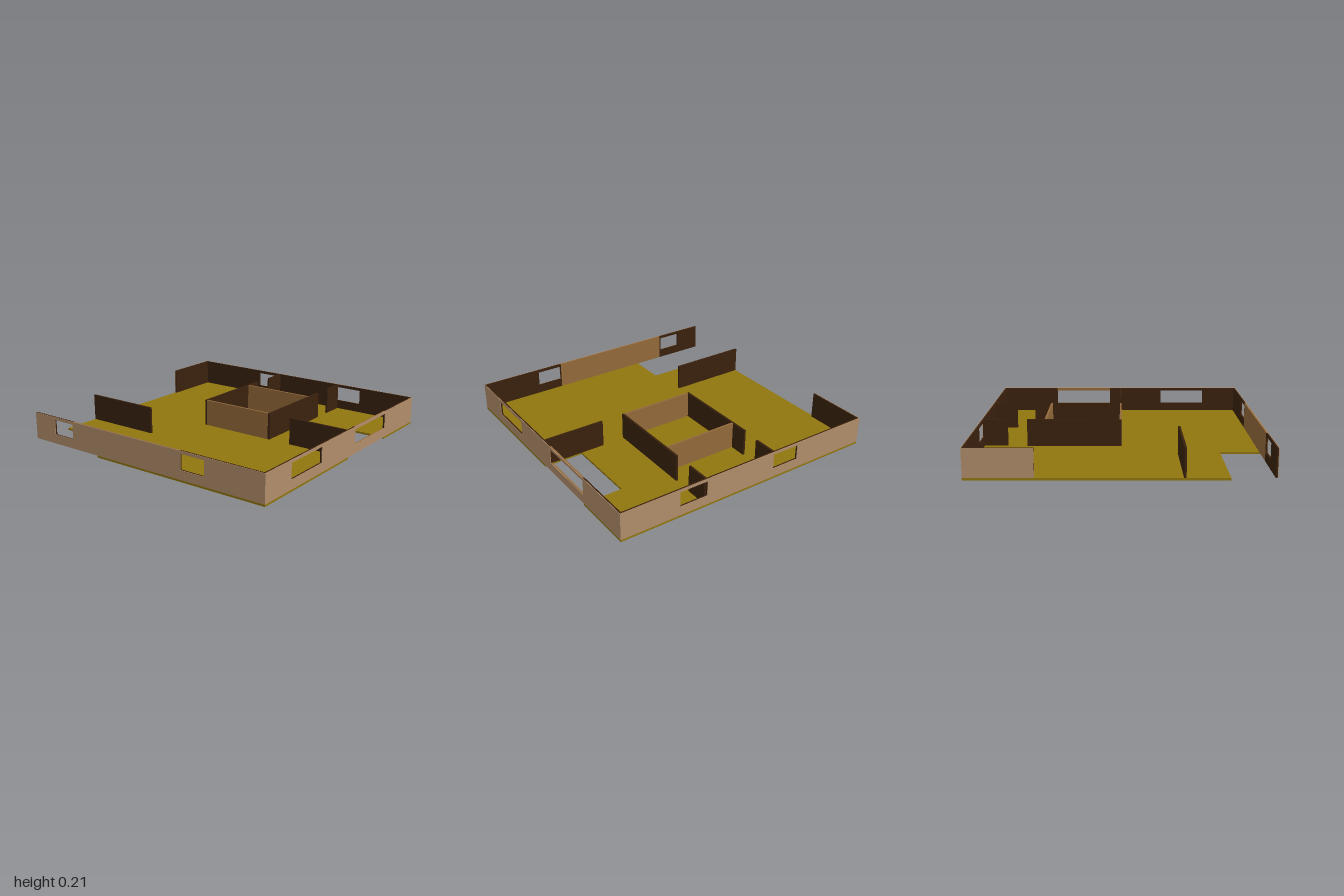
import * as THREE from 'three';

const FLOOR = 0.014, TOP = 0.21, SILL = 0.08, HEAD = 0.19;
const X = 0.993, Z = 1; // half extents of the plan
const SKIN = 0.004, T = 0.015; // outer cladding and wall thickness

const mat = (name, color) => {
  const m = new THREE.MeshStandardMaterial({ color });
  m.name = name;
  return m;
};

export function createModel() {
  const house = new THREE.Group();
  house.name = 'floorPlan';
  const ochre = mat('ochreFloor', 0x90760e);
  const tan = mat('tanCladding', 0xb18d6a);
  const dark = mat('darkBrownWall', 0x3a210e);
  const brown = mat('brownPanel', 0x93693a);

  const add = (name, geometry, material) => {
    const mesh = new THREE.Mesh(geometry, material);
    mesh.name = name;
    house.add(mesh);
    return mesh;
  };

  const rect = (Type, a, b, c, d) => {
    const p = new Type();
    p.moveTo(a, c).lineTo(b, c).lineTo(b, d).lineTo(a, d).closePath();
    return p;
  };

  // Upright slab running from a to b along an axis, between w0 and w1 across it
  function wall(name, axis, a, b, w0, w1, material, windows = [], y0 = FLOOR, y1 = TOP) {
    const shape = rect(THREE.Shape, a, b, y0, y1);
    for (const [p, q] of windows) shape.holes.push(rect(THREE.Path, p, q, SILL, HEAD));
    const g = new THREE.ExtrudeGeometry(shape, { depth: w1 - w0, bevelEnabled: false });
    if (axis === 'z') g.rotateY(-Math.PI / 2).translate(w1, 0, 0);
    else g.translate(0, 0, w0);
    add(name, g, material);
  }

  // Floor slab with its two notches, drawn in plan (shape y becomes z)
  const plan = new THREE.Shape([
    [-0.7, -Z], [X, -Z], [X, Z], [0.54, Z], [0.54, 0.715], [0, 0.715],
    [0, Z], [-X, Z], [-X, -0.385], [-0.7, -0.385],
  ].map(([x, z]) => new THREE.Vector2(x, z)));
  const slab = new THREE.ExtrudeGeometry(plan, { depth: FLOOR, bevelEnabled: false });
  slab.rotateX(Math.PI / 2).translate(0, FLOOR, 0);
  add('floor', slab, ochre);

  // Outer cladding
  const frontWindows = [[-0.71, -0.35], [0.09, 0.54]];
  const rightWindows = [[-0.41, -0.2], [0.35, 0.56]];
  const leftWindows = [[-0.8, -0.62], [0.355, 0.548]];
  wall('frontCladding', 'x', -X, X, Z - SKIN, Z, tan, frontWindows);
  wall('eastCladding', 'z', -Z, Z - SKIN, X - SKIN, X, tan, rightWindows);
  wall('westCladding', 'z', -Z, Z - SKIN, -X, -X + SKIN, tan, leftWindows);
  wall('backCladding', 'x', 0.54, X - SKIN, -Z, -Z + SKIN, tan);

  // Inner faces of the outer walls
  const inX = X - SKIN, inZ = Z - SKIN, w = T - SKIN;
  wall('frontWallWest', 'x', -inX, 0.09, inZ - w, inZ, dark, [frontWindows[0]]);
  wall('frontWallEast', 'x', 0.54, inX, inZ - w, inZ, dark);
  wall('frontPanelBelowWindow', 'x', 0.09, 0.54, inZ - w, inZ, brown, [], FLOOR, SILL);
  wall('frontPanelAboveWindow', 'x', 0.09, 0.54, inZ - w, inZ, brown, [], HEAD, TOP);
  wall('eastWall', 'z', -inZ, inZ - w, inX - w, inX, dark, rightWindows);
  wall('westWallBack', 'z', -Z, -0.61, -inX, -inX + w, dark, [leftWindows[0]]);
  wall('westPanel', 'z', -0.61, 0.35, -inX, -inX + w, brown);
  wall('westWallFront', 'z', 0.35, inZ - w, -inX, -inX + w, dark, [leftWindows[1]]);
  wall('backWall', 'x', 0.54, inX - w, -inZ, -inZ + w, dark);

  // Central room: long dark walls joined by brown cross walls
  for (const z of [-0.217, 0.357]) wall('centralLongWall', 'x', -0.012, 0.667, z - T / 2, z + T / 2, dark);
  for (const x of [-0.005, 0.535]) wall('centralCrossWall', 'z', -0.2095, 0.3495, x - T / 2, x + T / 2, brown);

  // Short walls from the east side
  for (const z of [-0.203, 0.357]) wall('eastPartition', 'x', 0.808, inX - w, z - T / 2, z + T / 2, dark);

  // Free partitions
  wall('backPartition', 'z', -Z, -0.415, -0.418, -0.403, dark);
  wall('frontPartition', 'z', 0.535, inZ - w, -0.0125, 0.0025, dark);

  return house;
}
